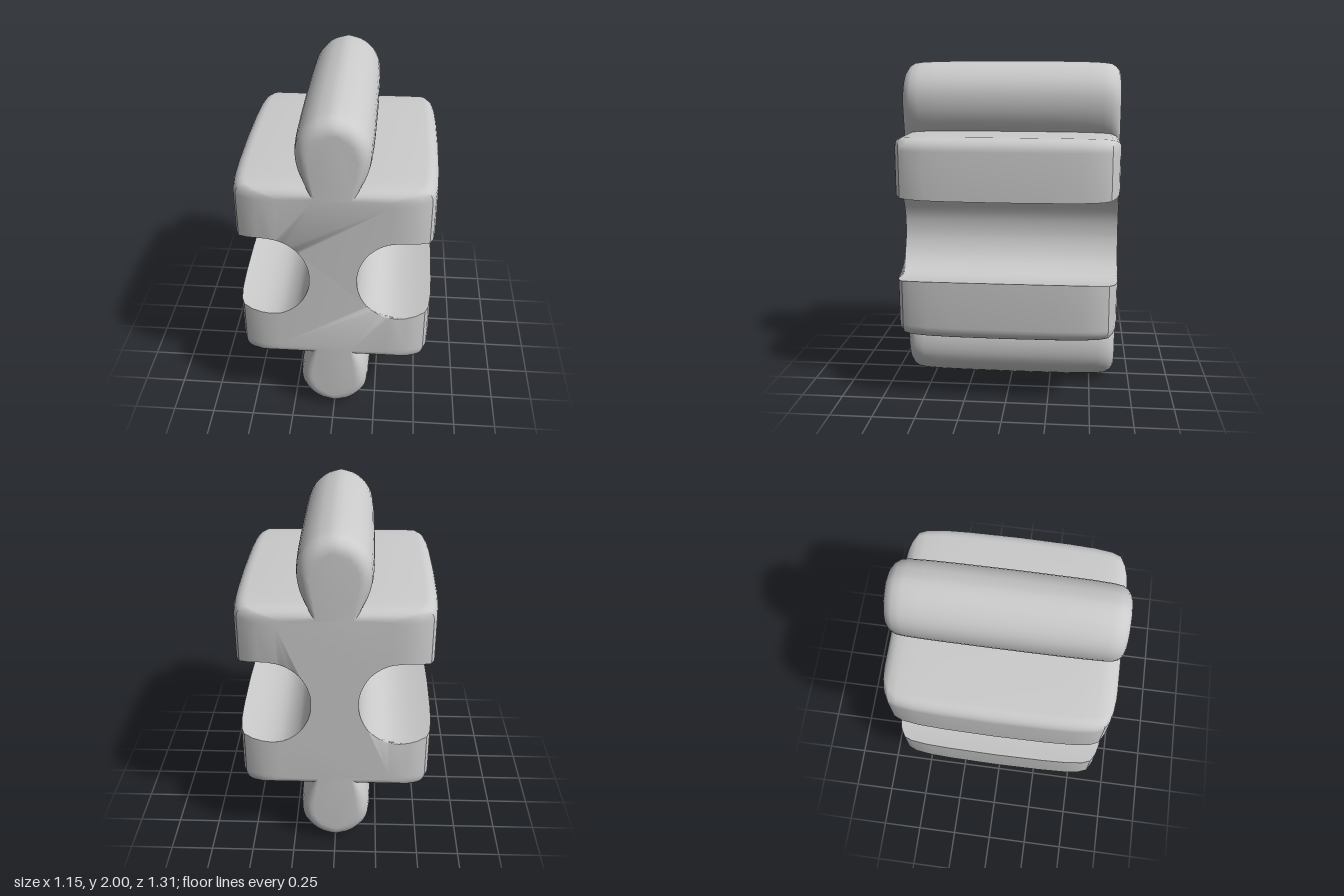
import * as THREE from 'three';
import { toCreasedNormals } from 'three/addons/utils/BufferGeometryUtils.js';

const V = (x, y) => new THREE.Vector2(x, y);
const curve = pts => new THREE.SplineCurve(pts.map(p => V(...p)));

// Side socket, from the waist out to the side (y measured from mid height)
const socket = curve([[0.135, 0], [0.14, 0.06], [0.165, 0.13], [0.21, 0.195], [0.29, 0.25],
  [0.38, 0.265], [0.48, 0.255], [0.575, 0.235]]);
// Knob outline, neck to tip: full size and at the end faces
const knobFull = curve([[0.155, 0.59], [0.18, 0.63], [0.205, 0.70], [0.213, 0.78], [0.2, 0.855],
  [0.16, 0.92], [0.09, 0.975], [0, 1]]);
const knobEnd = curve([[0.1, 0.525], [0.113, 0.6], [0.124, 0.68], [0.134, 0.75], [0.127, 0.8],
  [0.105, 0.845], [0.065, 0.885], [0, 0.91]]);

// Half depth stations: [z, fullness], fullness 0 at the end face and 1 in the middle
const half = [[0.655, 0], [0.652, 0.2], [0.645, 0.4], [0.63, 0.62], [0.6, 0.83], [0.55, 0.91],
  [0.45, 0.96], [0.3, 0.985], [0, 1]];
const stations = [...half.map(([z, s]) => [-z, s]), ...half.slice(0, -1).reverse()];

// One quarter of the cross-section, waist to knob tip
function quarter(s) {
  const lerp = THREE.MathUtils.lerp;
  const w = lerp(0.32, 0.575, s), top = lerp(0.525, 0.59, s), r = lerp(0.03, 0.075, s);
  let lo = 0, hi = 1;
  for (let i = 0; i < 30; i++) {
    const mid = (lo + hi) / 2;
    if (socket.getPoint(mid).x < w) lo = mid; else hi = mid;
  }
  const pts = [];
  for (let i = 0; i <= 18; i++) pts.push(socket.getPoint(hi * i / 18));
  for (let i = 0; i <= 6; i++) {
    const a = i / 6 * Math.PI / 2;
    pts.push(V(w - r + r * Math.cos(a), top - r + r * Math.sin(a)));
  }
  for (let i = 0; i <= 16; i++) {
    pts.push(knobEnd.getPoint(i / 16).lerp(knobFull.getPoint(i / 16), s));
  }
  pts[pts.length - 1].x = 0;
  return pts;
}

// Mirror the quarter into a closed counter-clockwise ring
function ring(s) {
  const q = quarter(s), back = [...q].reverse();
  const part = (list, sx, sy) => list.slice(0, -1).map(p => V(p.x * sx, 1 + p.y * sy));
  return [...part(q, 1, 1), ...part(back, -1, 1), ...part(q, -1, -1), ...part(back, 1, -1)];
}

// Loft the rings along z and close both ends
function pieceGeometry() {
  const rings = stations.map(([, s]) => ring(s));
  const n = rings[0].length, pos = [], index = [];
  rings.forEach((pts, i) => pts.forEach(p => pos.push(p.x, p.y, stations[i][0])));
  for (let i = 0; i < rings.length - 1; i++) {
    for (let j = 0; j < n; j++) {
      const k = (j + 1) % n;
      const a = i * n + j, b = i * n + k, c = b + n, d = a + n;
      index.push(a, b, c, a, c, d);
    }
  }
  const last = (rings.length - 1) * n;
  for (const [a, b, c] of THREE.ShapeUtils.triangulateShape(rings[0], [])) {
    index.push(c, b, a, last + a, last + b, last + c);
  }
  const geo = new THREE.BufferGeometry();
  geo.setAttribute('position', new THREE.Float32BufferAttribute(pos, 3));
  geo.setIndex(index);
  return toCreasedNormals(geo, 0.65);
}

export function createModel() {
  const group = new THREE.Group();
  group.name = 'jigsawBlock';
  const piece = new THREE.Mesh(pieceGeometry(), new THREE.MeshStandardMaterial({ color: 0xcccccc }));
  piece.name = 'puzzlePiece';
  group.add(piece);
  return group;
}
